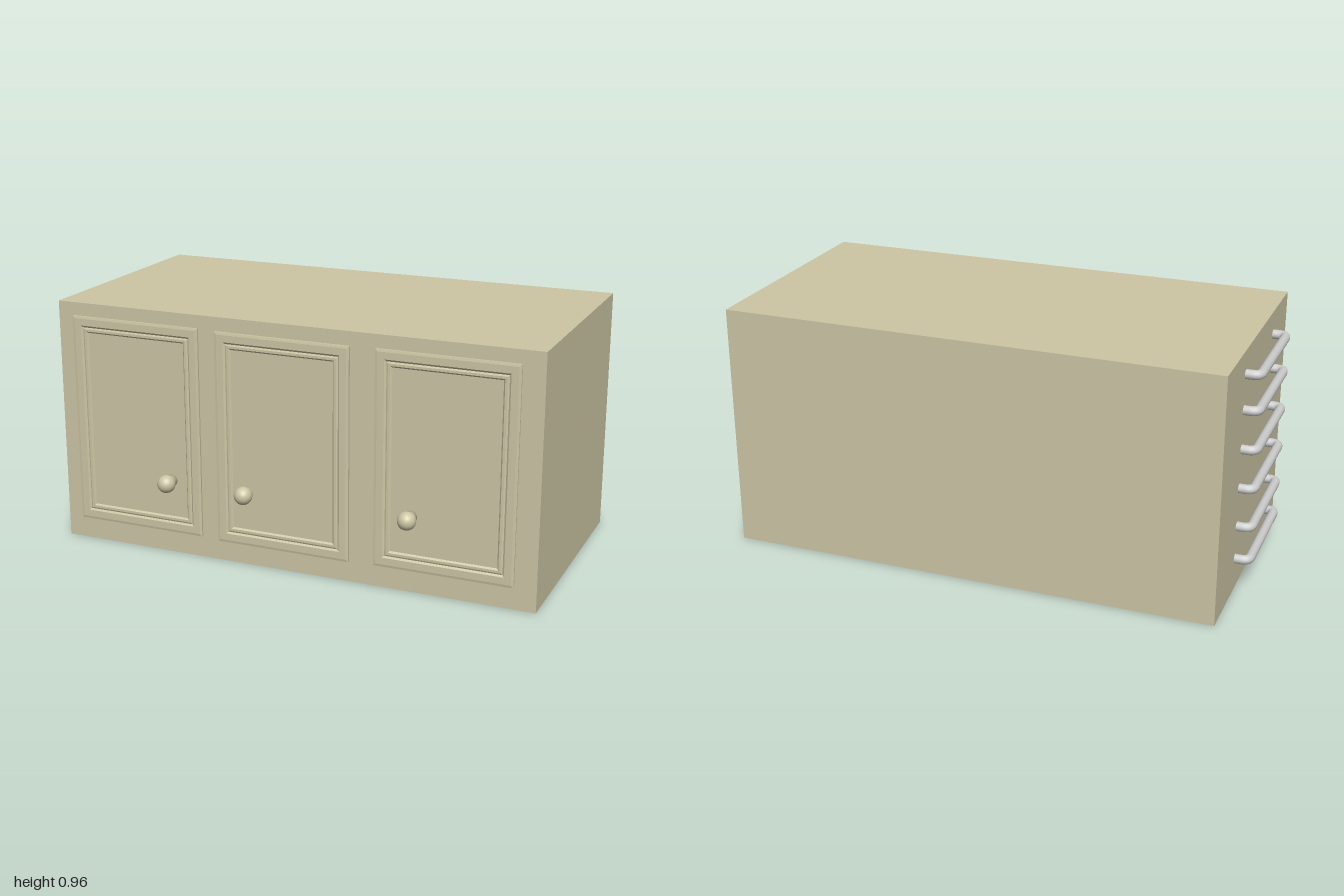
import * as THREE from 'three';

const cream = new THREE.MeshStandardMaterial({ color: 0xcdc6a5 });
const metal = new THREE.MeshStandardMaterial({ color: 0xcccccc });

// Door moulding, from the back edge to the centre panel: [inset, depth]
const MOULDING = [
  [0, 0], [0, 0.010], [0.009, 0.012], [0.036, 0.012], [0.043, 0.007],
  [0.049, 0.010], [0.058, 0.010], [0.064, 0.004],
];

// Closed slab lofted through rectangles that follow the moulding
function doorGeometry(w, h) {
  const loops = MOULDING.map(([inset, z]) => {
    const x = w / 2 - inset, y = h / 2 - inset;
    return [[-x, -y, z], [x, -y, z], [x, y, z], [-x, y, z]];
  });
  const pos = [];
  const quad = (a, b, c, d) => pos.push(...a, ...b, ...c, ...a, ...c, ...d);
  for (let i = 0; i < loops.length - 1; i++) {
    for (let k = 0; k < 4; k++) {
      const n = (k + 1) % 4;
      quad(loops[i][k], loops[i][n], loops[i + 1][n], loops[i + 1][k]);
    }
  }
  quad(...loops[loops.length - 1]);
  quad(...[...loops[0]].reverse());
  const g = new THREE.BufferGeometry();
  g.setAttribute('position', new THREE.Float32BufferAttribute(pos, 3));
  g.computeVertexNormals();
  return g;
}

// Ball knob on a short stem, pointing along +z from z = 0
function knobGeometry(length) {
  const r = 0.035, stem = 0.023, start = Math.asin(stem / r);
  const profile = [new THREE.Vector2(0, 0), new THREE.Vector2(stem, 0)];
  for (let i = 0; i <= 14; i++) {
    const a = start + (Math.PI - start) * i / 14;
    profile.push(new THREE.Vector2(Math.max(0, r * Math.sin(a)), length - r - r * Math.cos(a)));
  }
  return new THREE.LatheGeometry(profile, 28).rotateX(Math.PI / 2);
}

// Bar handle: two legs joined by a straight bar with rounded corners
function handleGeometry() {
  const root = -0.922, out = -0.982, back = -0.242, front = 0.203, r = 0.03;
  const v = (x, z) => new THREE.Vector3(x, 0, z);
  const path = new THREE.CurvePath();
  path.add(new THREE.LineCurve3(v(root, back), v(out + r, back)));
  path.add(new THREE.QuadraticBezierCurve3(v(out + r, back), v(out, back), v(out, back + r)));
  path.add(new THREE.LineCurve3(v(out, back + r), v(out, front - r)));
  path.add(new THREE.QuadraticBezierCurve3(v(out, front - r), v(out, front), v(out + r, front)));
  path.add(new THREE.LineCurve3(v(out + r, front), v(root, front)));
  return new THREE.TubeGeometry(path, 80, 0.018, 14, false);
}

export function createModel() {
  const model = new THREE.Group();
  model.name = 'cabinet';
  const add = (name, geometry, material, x, y, z) => {
    const mesh = new THREE.Mesh(geometry, material);
    mesh.name = name;
    mesh.position.set(x, y, z);
    model.add(mesh);
  };

  // Cabinet body
  add('body', new THREE.BoxGeometry(1.93, 0.962, 0.965), cream, 0.035, 0.481, -0.0425);

  // Three doors with knobs; the middle door stands slightly proud
  const door = doorGeometry(0.537, 0.826);
  const knob = knobGeometry(0.085);
  const doors = [
    { side: 'right', x: -0.597, z: 0.438, knobX: -0.457 },
    { side: 'middle', x: 0.016, z: 0.450, knobX: -0.13 },
    { side: 'left', x: 0.648, z: 0.438, knobX: 0.523 },
  ];
  for (const d of doors) {
    add(`${d.side}Door`, door, cream, d.x, 0.498, d.z);
    add(`${d.side}Knob`, knob, cream, d.knobX, 0.296, 0.438);
  }

  // Column of bar handles on the right side
  const handle = handleGeometry();
  [0.133, 0.267, 0.422, 0.577, 0.73, 0.868].forEach((y, i) => {
    add(`sideHandle${i + 1}`, handle, metal, 0, y, 0);
  });

  return model;
}
